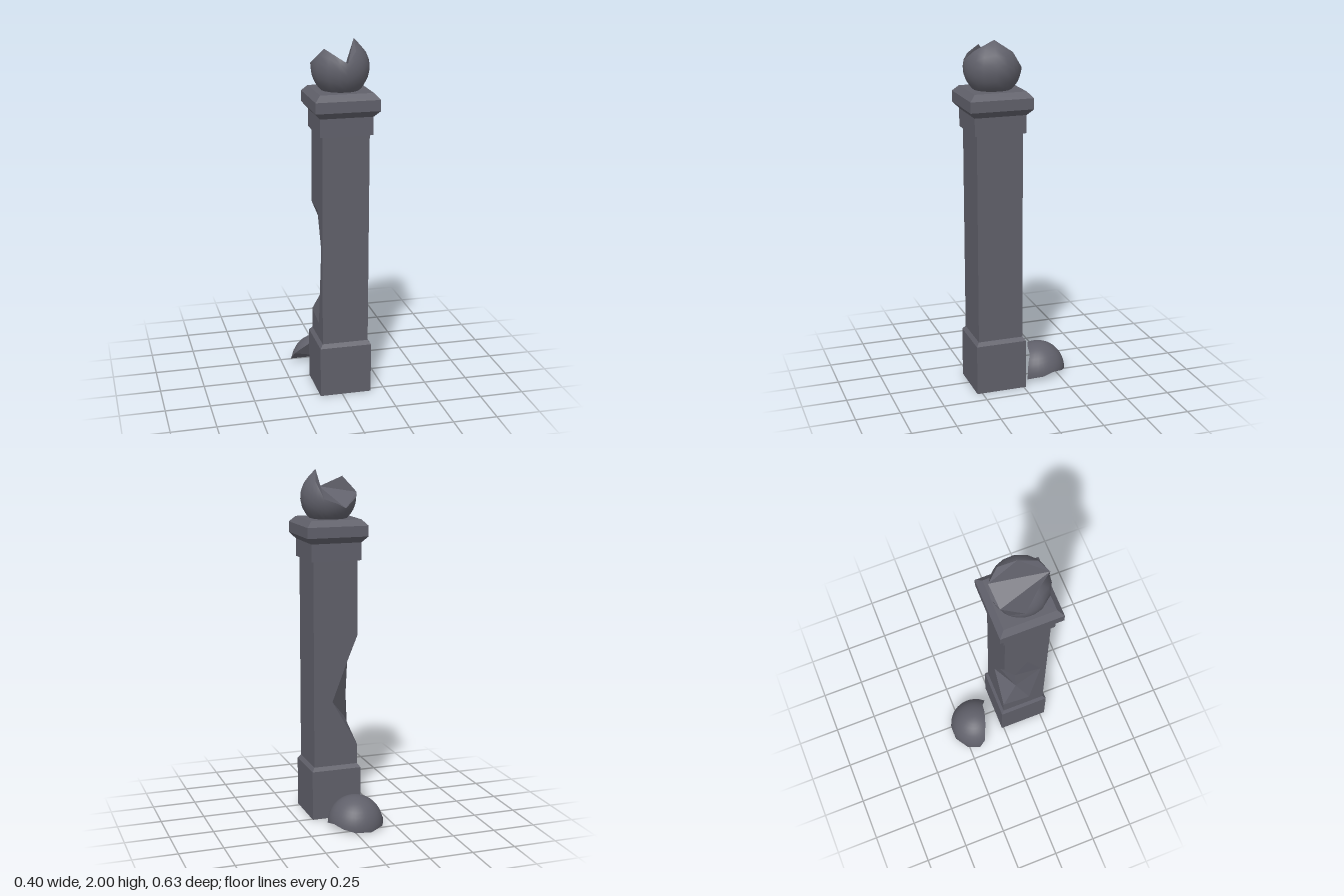
import * as THREE from 'three';

const stone = new THREE.MeshStandardMaterial({ color: 0x60606a });
stone.name = 'dark stone';

const H = 0.13; // half width of the shaft

function add(parent, name, geometry) {
  const mesh = new THREE.Mesh(geometry, stone);
  mesh.name = name;
  parent.add(mesh);
  return mesh;
}

function facets(points) {
  const g = new THREE.BufferGeometry();
  g.setAttribute('position', new THREE.Float32BufferAttribute(points.flatMap(p => [...p]), 3));
  g.computeVertexNormals();
  return g;
}

// Square moulding from a profile of [half width, height]
function squareLathe(profile) {
  const pts = profile.map(([h, y]) => new THREE.Vector2(h * Math.SQRT2, y));
  const g = new THREE.LatheGeometry(pts, 4, Math.PI / 4).toNonIndexed();
  g.computeVertexNormals();
  return g;
}

function faceShape(points) {
  return new THREE.ShapeGeometry(new THREE.Shape(points.map(([u, y]) => new THREE.Vector2(u, y))));
}

// Ball skin from a pole (+1 top, -1 bottom) to a ragged rim ordered by azimuth
function ballSkin(center, radius, rim, pole) {
  const split = 3, rows = 9, columns = [];
  rim.forEach((p, i) => {
    for (let k = 0; k < split; k++) {
      columns.push(p.clone().lerp(rim[(i + 1) % rim.length], k / split));
    }
  });
  const pos = [], nor = [], index = [];
  columns.forEach((p, i) => {
    const d = p.clone().sub(center).normalize();
    const az = Math.atan2(d.z, d.x), end = Math.asin(d.y), start = pole * Math.PI / 2;
    for (let j = 0; j <= rows; j++) {
      const e = start + (end - start) * j / rows;
      const n = new THREE.Vector3(Math.cos(e) * Math.cos(az), Math.sin(e), Math.cos(e) * Math.sin(az));
      const v = j === rows ? p : n.clone().multiplyScalar(radius).add(center);
      pos.push(...v);
      nor.push(...n);
      if (j < rows) {
        const a = i * (rows + 1) + j, b = ((i + 1) % columns.length) * (rows + 1) + j;
        if (pole < 0) index.push(a, a + 1, b + 1, a, b + 1, b);
        else index.push(a, b + 1, a + 1, a, b, b + 1);
      }
    }
  });
  const g = new THREE.BufferGeometry();
  g.setAttribute('position', new THREE.Float32BufferAttribute(pos, 3));
  g.setAttribute('normal', new THREE.Float32BufferAttribute(nor, 3));
  g.setIndex(index);
  return g;
}

const vectors = list => list.map(p => new THREE.Vector3(...p));

function buildShaft() {
  const shaft = new THREE.Group();
  shaft.name = 'shaft';
  const w = 2 * H, y0 = 0.3, y1 = 1.5;

  // Intact front and left faces
  const plain = () => new THREE.PlaneGeometry(w, y1 - y0).translate(0, (y0 + y1) / 2, H);
  add(shaft, 'shaftFront', plain());
  add(shaft, 'shaftLeft', plain().rotateY(Math.PI / 2));

  // Broken corner: [distance along back face, height, distance along right face]
  const top = [0, 1.07, 0], b1 = [0.062, 0.92, 0], b2 = [0.15, 0.69, 0], low = [0, 0.425, 0];
  const r1 = [0, 0.4, 0.167], r2 = [0, 0.86, 0.226], r3 = [0, 1.06, 0.138];
  const inA = [0.044, 0.77, 0.083], inB = [0.045, 0.57, 0.094];
  const uBack = p => [-p[0], p[1]], uRight = p => [p[2], p[1]];

  const back = faceShape([[-w, y0], [0, y0], ...[low, b2, b1, top].map(uBack), [0, y1], [-w, y1]]);
  add(shaft, 'shaftBack', back.rotateY(Math.PI).translate(-H, 0, -H));
  const right = faceShape([[0, y0], [w, y0], [w, y1], [0, y1], ...[top, r3, r2, r1, low].map(uRight)]);
  add(shaft, 'shaftRight', right.rotateY(-Math.PI / 2).translate(-H, 0, -H));

  const chip = [
    top, b1, r3, b1, inA, r3, inA, r2, r3,
    b1, inB, inA, b1, b2, inB, b2, low, inB,
    low, r1, inB, inB, r1, r2, inA, inB, r2,
  ];
  add(shaft, 'shaftChip', facets(chip).translate(-H, 0, -H));
  return shaft;
}

function buildBrokenBall() {
  const ball = new THREE.Group();
  ball.name = 'brokenBall';
  const rim = vectors([
    [0.09, 1.845, -0.01], [0.12, 1.935, 0.05], [0.09, 2.0, 0.145], [0.075, 1.945, 0.25],
    [0.02, 1.89, 0.295], [-0.08, 1.955, 0.18], [-0.137, 1.87, 0.1], [-0.108, 1.845, 0.033],
    [-0.04, 1.79, 0.003], [0.02, 1.82, -0.025],
  ]);
  add(ball, 'ballSkin', ballSkin(new THREE.Vector3(0.02, 1.845, 0.135), 0.158, rim, -1));
  // Fracture planes across the rim
  const fracture = [
    [2, 1, 0], [4, 3, 2], [4, 2, 0], [8, 4, 0], [9, 8, 0],
    [6, 5, 4], [8, 6, 4], [8, 7, 6],
  ];
  add(ball, 'ballFracture', facets(fracture.flat().map(i => rim[i])));
  return ball;
}

function buildFragment() {
  const fragment = new THREE.Group();
  fragment.name = 'fallenFragment';
  const rim = vectors([
    [0.12, 0.025, -0.14], [0.085, 0.005, -0.05], [0.03, 0.135, -0.085], [-0.03, 0.155, -0.093],
    [-0.1, 0.152, -0.115], [-0.183, 0.08, -0.15], [-0.2, 0.03, -0.19], [-0.17, 0.015, -0.26],
    [-0.085, 0.005, -0.313], [0.01, 0.01, -0.31], [0.07, 0.025, -0.27], [0.105, 0.04, -0.21],
  ]);
  add(fragment, 'fragmentSkin', ballSkin(new THREE.Vector3(-0.04, 0.018, -0.16), 0.157, rim, 1));
  // Fracture as a fan to an inner point
  const inner = new THREE.Vector3(-0.03, 0.045, -0.16);
  const fan = rim.flatMap((p, i) => [inner, p, rim[(i + 1) % rim.length]]);
  add(fragment, 'fragmentFracture', facets(fan));
  return fragment;
}

export function createModel() {
  const model = new THREE.Group();
  model.name = 'brokenPillar';

  const pillar = new THREE.Group();
  pillar.name = 'pillar';
  pillar.position.set(0.02, 0, 0.134);
  add(pillar, 'base', squareLathe([[0, 0], [0.146, 0], [0.146, 0.288], [H, 0.31]]));
  pillar.add(buildShaft());
  add(pillar, 'cap', squareLathe([
    [H, 1.5], [0.146, 1.5], [0.146, 1.6], [0.177, 1.635],
    [0.177, 1.695], [0.146, 1.728], [0, 1.728],
  ]));

  model.add(pillar, buildBrokenBall(), buildFragment());
  return model;
}
